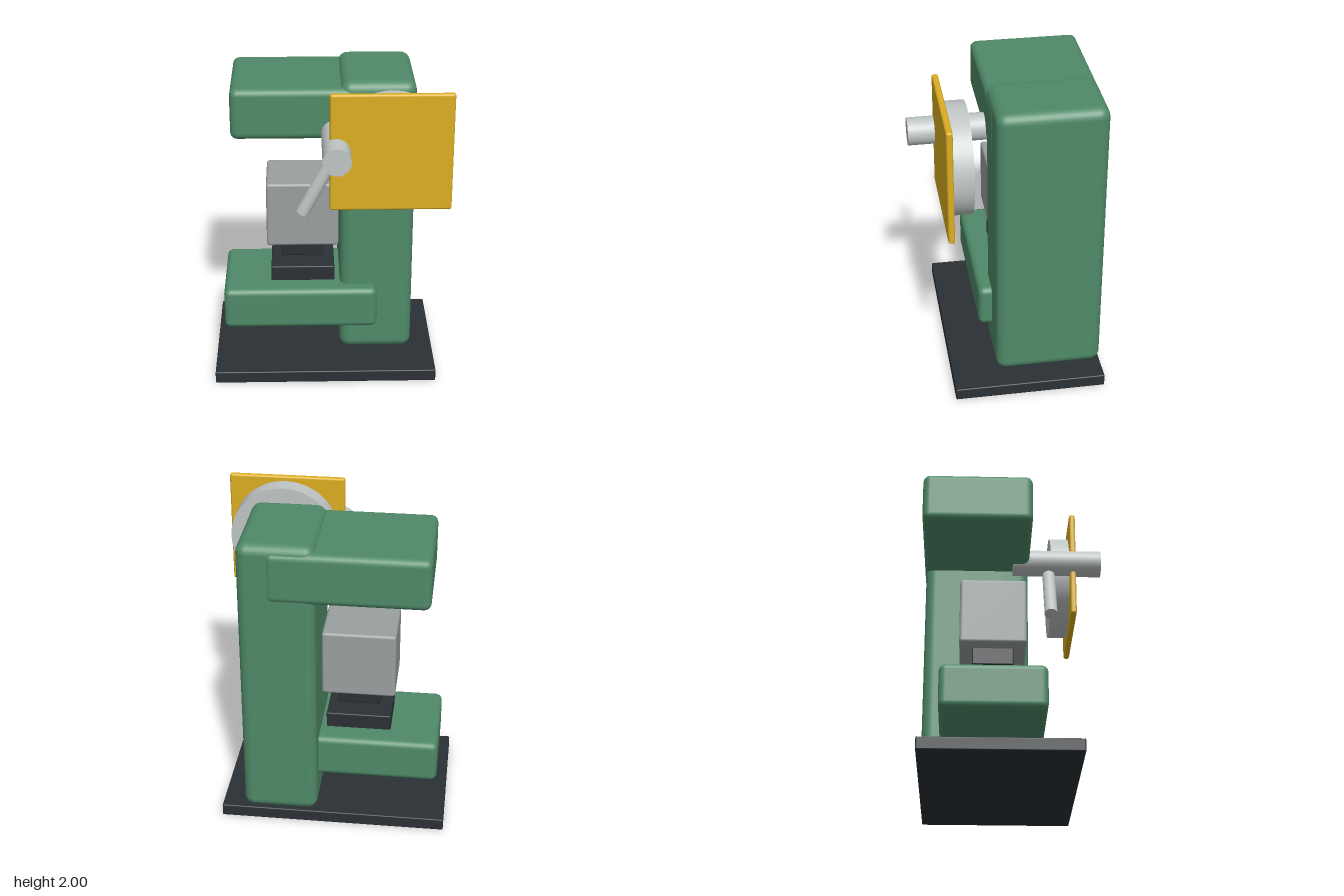
import * as THREE from 'three';
import { RoundedBoxGeometry } from 'three/addons/geometries/RoundedBoxGeometry.js';

const mat = (color) => new THREE.MeshStandardMaterial({ color });

export function createModel() {
  const model = new THREE.Group();
  const green = mat(0x4f8a68);
  const dark = mat(0x2b3035);
  const steel = mat(0xbfc4c4);
  const ramGrey = mat(0x9a9fa0);
  const yellow = mat(0xdcae22);

  const add = (name, geometry, material) => {
    const mesh = new THREE.Mesh(geometry, material);
    mesh.name = name;
    model.add(mesh);
    return mesh;
  };

  // Bevelled box given by its extents along each axis
  const box = (name, [x0, x1], [y0, y1], [z0, z1], radius, material) =>
    add(name, new RoundedBoxGeometry(x1 - x0, y1 - y0, z1 - z0, 3, radius), material)
      .position.set((x0 + x1) / 2, (y0 + y1) / 2, (z0 + z1) / 2);

  // Cylinder running between two points
  const rod = (name, from, to, radius, material, sides = 32) => {
    const a = new THREE.Vector3(...from);
    const b = new THREE.Vector3(...to);
    const mesh = add(name, new THREE.CylinderGeometry(radius, radius, a.distanceTo(b), sides), material);
    mesh.position.copy(a).lerp(b, 0.5);
    mesh.quaternion.setFromUnitVectors(new THREE.Vector3(0, 1, 0), b.sub(a).normalize());
  };

  // Frame
  box('base', [-0.75, 0.69], [0, 0.08], [-0.58, 0.395], 0.008, dark);
  box('column', [0.07, 0.545], [0.08, 1.96], [-0.58, 0.105], 0.065, green);
  box('upperArm', [-0.62, 0.37], [1.59, 1.92], [-0.59, 0.11], 0.045, green);
  box('lowerArm', [-0.69, 0.31], [0.29, 0.57], [-0.46, 0.19], 0.04, green);

  // Ram and dies
  box('ram', [-0.405, 0.06], [0.84, 1.275], [-0.345, 0.075], 0.018, ramGrey);
  box('upperDie', [-0.31, -0.04], [0.73, 0.85], [-0.265, -0.005], 0.008, dark);
  box('lowerDie', [-0.38, 0.035], [0.56, 0.67], [-0.31, 0.04], 0.008, dark);

  // Drive shaft and hand lever
  rod('driveShaft', [0.035, 1.635, 0], [0.035, 1.635, 0.59], 0.087, steel);
  rod('lever', [0.035, 1.55, 0.242], [-0.175, 1.152, 0.242], 0.042, steel, 24);

  // Flywheel with hub and square guard
  rod('flywheel', [0.38, 1.625, 0.26], [0.38, 1.625, 0.39], 0.344, steel, 64);
  rod('flywheelHub', [0.37, 1.63, 0.252], [0.37, 1.63, 0.388], 0.065, dark);
  box('flywheelGuard', [-0.005, 0.745], [1.25, 2], [0.385, 0.425], 0.014, yellow);

  return model;
}
